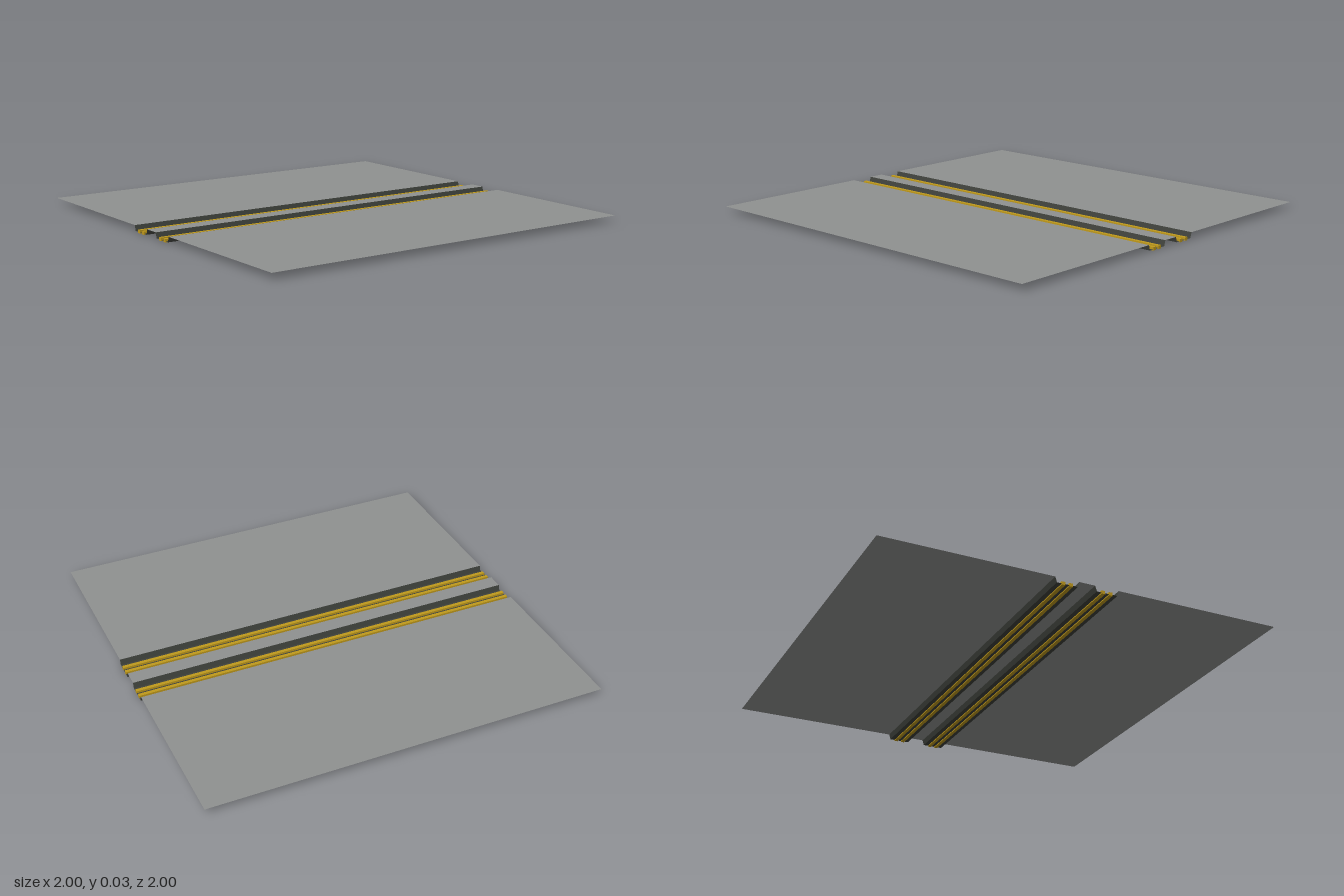
import * as THREE from 'three';

const mat = (name, color, side = THREE.FrontSide) =>
  Object.assign(new THREE.MeshStandardMaterial({ color, side }), { name });

export function createModel() {
  const group = new THREE.Group();
  const pavement = mat('pavement grey', 0x8f9190, THREE.DoubleSide);
  const channel = mat('dark channel', 0x3e413b, THREE.DoubleSide);
  const brass = mat('rail yellow', 0xc09a1c);
  const top = 0.032, floor = 0.005, length = 2;

  // Open sheet running along z between two points of the cross-section
  function strip(name, x0, y0, x1, y1, material) {
    const g = new THREE.PlaneGeometry(Math.hypot(x1 - x0, y1 - y0), length);
    g.rotateX(-Math.PI / 2);
    g.rotateZ(Math.atan2(y1 - y0, x1 - x0));
    const mesh = new THREE.Mesh(g, material);
    mesh.position.set((x0 + x1) / 2, (y0 + y1) / 2, 0);
    mesh.name = name;
    group.add(mesh);
  }

  // Flat ground either side of the two channels, and between them
  strip('rightGround', -1, top, -0.16, top, pavement);
  strip('centreGround', -0.04, top, 0.04, top, pavement);
  strip('leftGround', 0.16, top, 1, top, pavement);

  for (const [side, cx] of [['right', -0.1], ['left', 0.1]]) {
    // Channel with slightly sloping walls
    strip(side + 'ChannelWallA', cx - 0.06, top, cx - 0.052, floor, channel);
    strip(side + 'ChannelFloor', cx - 0.052, floor, cx + 0.052, floor, channel);
    strip(side + 'ChannelWallB', cx + 0.052, floor, cx + 0.06, top, channel);

    // Pair of rails set through the floor
    for (const dx of [-0.019, 0.019]) {
      const rail = new THREE.Mesh(new THREE.BoxGeometry(0.018, 0.016, length), brass);
      rail.position.set(cx + dx, 0.008, 0);
      rail.name = side + 'Rail';
      group.add(rail);
    }
  }
  return group;
}
